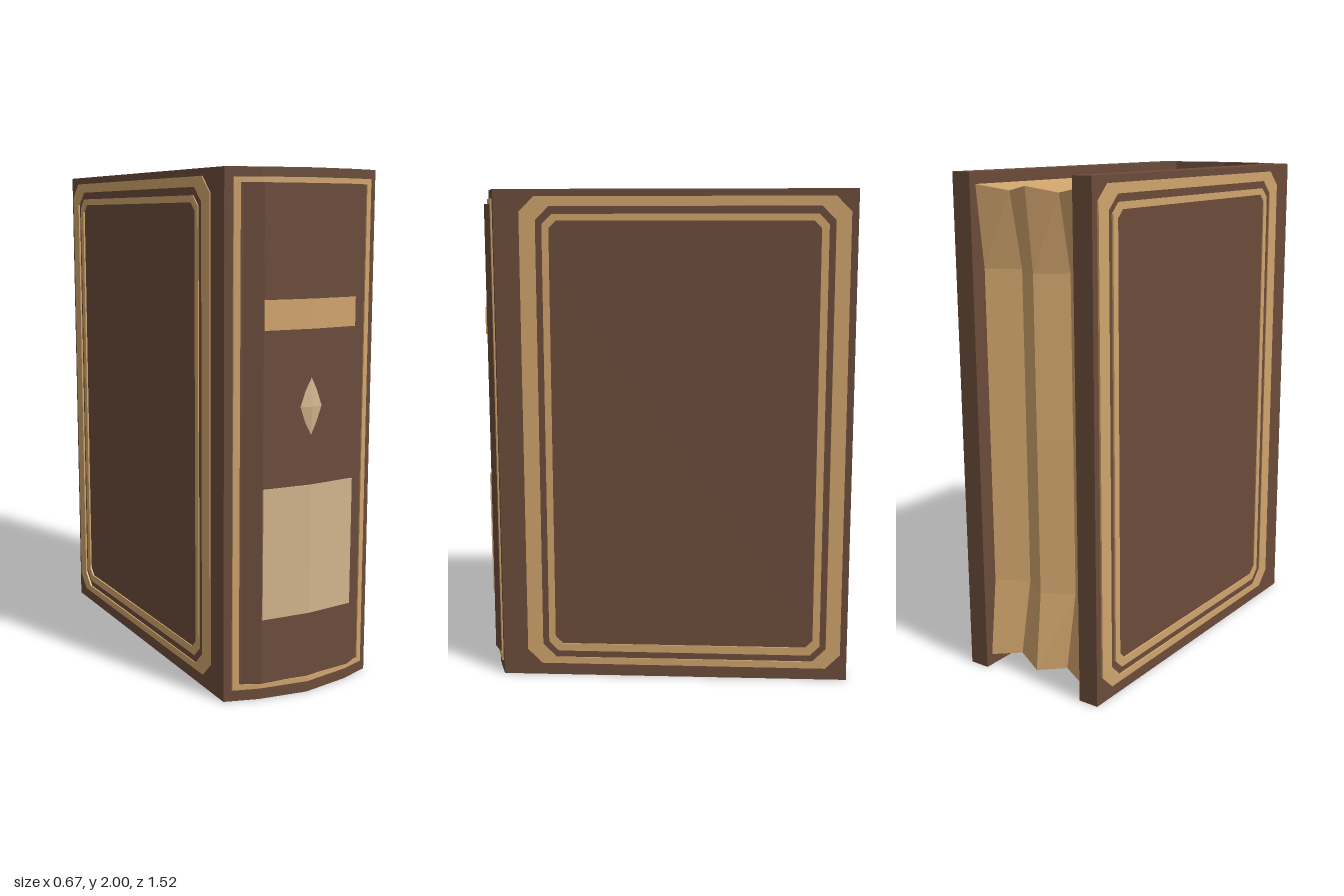
import * as THREE from 'three';

const flat = (name, color) => {
  const m = new THREE.MeshStandardMaterial({ color, flatShading: true });
  m.name = name;
  return m;
};

// Spine heights, half profiles as [x, z] from the centre outwards
const SPINE = [[0, 0.75], [0.2, 0.718], [0.33, 0.675]];
const PANEL = [[0, 0.754], [0.2, 0.738], [0.268, 0.7]];

function heightAt(profile, x) {
  const a = Math.abs(x);
  const i = a <= profile[1][0] ? 0 : 1;
  const [x0, z0] = profile[i], [x1, z1] = profile[i + 1];
  return z0 + (z1 - z0) * (a - x0) / (x1 - x0);
}

// Mirrors a half profile into a full run from +x to -x
const mirrored = (half) => [
  ...[...half].reverse(),
  ...half.slice(1).map(([x, z]) => [-x, z]),
];

// Extrudes an x-z outline upwards from y0 to y1
function upright(points, y0, y1) {
  const shape = new THREE.Shape(points.map(([x, z]) => new THREE.Vector2(x, -z)));
  const g = new THREE.ExtrudeGeometry(shape, { depth: y1 - y0, bevelEnabled: false });
  return g.rotateX(-Math.PI / 2).translate(0, y0, 0);
}

// Rectangle with cut corners
const cutCorners = (a0, a1, b0, b1, c) => [
  [a0 + c, b0], [a1 - c, b0], [a1, b0 + c], [a1, b1 - c],
  [a1 - c, b1], [a0 + c, b1], [a0, b1 - c], [a0, b0 + c],
].map(([a, b]) => new THREE.Vector2(a, b));

function frame(outer, inner, depth) {
  const shape = new THREE.Shape(cutCorners(...outer));
  shape.holes.push(new THREE.Path(cutCorners(...inner)));
  return new THREE.ExtrudeGeometry(shape, { depth, bevelEnabled: false });
}

// Thin plate bent over a spine profile
function bentPlate(profile, w, h, x, y, segments) {
  const g = new THREE.BoxGeometry(w, h, 0.008, segments, 1, 1).translate(x, y, 0.002);
  const p = g.attributes.position;
  for (let i = 0; i < p.count; i++) p.setZ(i, p.getZ(i) + heightAt(profile, p.getX(i)));
  g.computeVertexNormals();
  return g;
}

export function createModel() {
  const book = new THREE.Group();
  book.name = 'book';
  const leather = flat('brown leather', 0x6b4c3b);
  const gold = flat('gold paper', 0xd0a46c);
  const cream = flat('cream label', 0xd2b48c);

  const add = (name, geometry, material) => {
    const mesh = new THREE.Mesh(geometry, material);
    mesh.name = name;
    book.add(mesh);
    return mesh;
  };

  // Both covers and the rounded spine in one wrap
  add('coverAndSpine', upright([
    [0.325, -0.755], ...mirrored(SPINE), [-0.325, -0.755],
    [-0.24, -0.755], [-0.24, 0.65], [0, 0.685], [0.24, 0.65], [0.24, -0.755],
  ], 0, 2), leather);

  // Raised panel on the spine
  add('spinePanel', upright([...mirrored(PANEL), [-0.25, 0.69], [0.25, 0.69]], 0.07, 1.945), leather);

  // Page block with a rippled fore edge and a gently folded top and bottom
  const pages = new THREE.BoxGeometry(0.482, 1.91, 1.4, 4, 6, 2).translate(0, 1, -0.01);
  const p = pages.attributes.position;
  for (let i = 0; i < p.count; i++) {
    const x = p.getX(i), y = p.getY(i), z = p.getZ(i);
    const fold = Math.abs(Math.abs(x) - 0.12) < 0.01 ? 1 : 0;
    const side = Math.sign(y - 1);
    const end = Math.abs(y - 1) > 0.95;
    if (z < -0.6) p.setZ(i, end ? -0.725 + fold * 0.05 : -0.69 + fold * 0.075);
    if (end) p.setY(i, y - side * fold * (z < 0.1 ? 0.022 : 0.008));
    if (fold && z < 0.1) p.setX(i, x * (z > -0.3 ? 1.12 : 0.97));
  }
  pages.computeVertexNormals();
  add('pages', pages, gold);

  // Double gold border on each cover
  const wide = frame([-0.727, 0.573, 0.05, 1.972, 0.06], [-0.668, 0.509, 0.078, 1.934, 0.055], 0.007);
  const narrow = frame([-0.642, 0.483, 0.106, 1.904, 0.04], [-0.613, 0.456, 0.138, 1.878, 0.03], 0.007);
  for (const g of [wide, narrow]) g.rotateY(-Math.PI / 2);
  for (const [side, x] of [['left', 0.333], ['right', -0.326]]) {
    add(side + 'OuterBorder', wide, gold).position.x = x;
    add(side + 'InnerBorder', narrow, gold).position.x = x;
  }

  // Thin gold border around the spine
  for (const s of [-1, 1]) {
    add('spineBorderSide', bentPlate(SPINE, 0.024, 1.9, s * 0.288, 1.005, 1), gold);
    add('spineBorderEnd', bentPlate(SPINE, 0.6, 0.02, 0, 1.005 + s * 0.95, 6), gold);
  }

  // Spine ornaments
  add('spineBand', bentPlate(PANEL, 0.4, 0.11, 0, 1.475, 2), gold);
  add('spineLabel', bentPlate(PANEL, 0.4, 0.505, 0, 0.578, 2), cream);
  const diamond = new THREE.OctahedronGeometry(1).scale(0.047, 0.13, 0.012).translate(0, 1.13, 0.752);
  add('spineDiamond', diamond, cream);

  return book;
}
